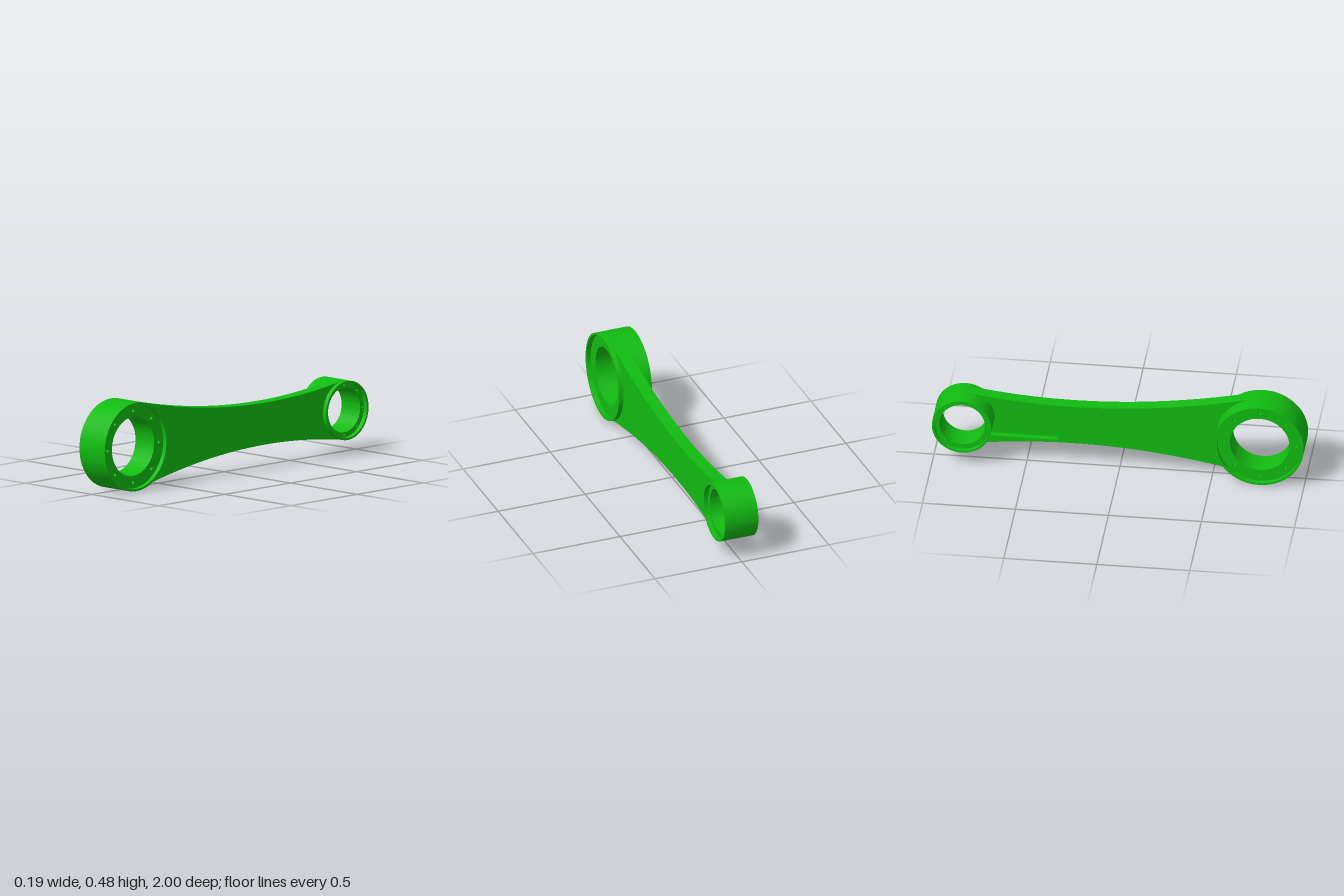
import * as THREE from 'three';
import { toCreasedNormals } from 'three/addons/utils/BufferGeometryUtils.js';

const GREEN = new THREE.MeshStandardMaterial({ color: 0x11bb11 });
const GREEN_THIN = new THREE.MeshStandardMaterial({ color: 0x11bb11, side: THREE.DoubleSide });
const MID_Y = 0.24;
const HALF_WIDTH = 0.095;   // ring half length along its axis
const SEAT = 0.07;          // recessed face distance from the centre plane

// Bearing ends: c = centre along the arm, r = outer, step = recess, bore,
// bolt = bolt circle, lean = angle where the arm leaves the ring tangentially
const BIG = { c: 0.76, r: 0.24, step: 0.228, bore: 0.16, bolt: 0.194, hole: 0.009, lean: 0.24 };
const SMALL = { c: -0.84, r: 0.16, step: 0.149, bore: 0.122, bolt: 0.136, hole: 0.006, lean: 0.16 };

function add(parent, name, geometry, material = GREEN) {
  const mesh = new THREE.Mesh(geometry, material);
  mesh.name = name;
  parent.add(mesh);
  return mesh;
}

// Surface of revolution about local z from [radius, height] points
function turned(points) {
  const g = new THREE.LatheGeometry(points.map(([r, h]) => new THREE.Vector2(r, h)), 96);
  g.rotateX(Math.PI / 2);
  return toCreasedNormals(g, 0.5);
}

function bearingRing(name, e) {
  const ring = new THREE.Group();
  ring.name = name;
  ring.position.set(e.c, MID_Y, 0);

  // outer wall with a raised lip and recess at both faces, and the bore
  add(ring, 'ringShell', turned([
    [e.step, -SEAT], [e.step, -HALF_WIDTH], [e.r, -HALF_WIDTH],
    [e.r, HALF_WIDTH], [e.step, HALF_WIDTH], [e.step, SEAT],
  ]), GREEN_THIN);
  add(ring, 'bore', turned([[e.bore, SEAT], [e.bore, -SEAT]]), GREEN_THIN);

  // recessed seat faces with a circle of blind bolt holes
  const seat = new THREE.Shape().absarc(0, 0, e.step, 0, Math.PI * 2);
  seat.holes.push(new THREE.Path().absarc(0, 0, e.bore, 0, Math.PI * 2));
  const spots = Array.from({ length: 8 }, (_, i) => {
    const a = i * Math.PI / 4;
    return [e.bolt * Math.cos(a), e.bolt * Math.sin(a)];
  });
  for (const [x, y] of spots) {
    seat.holes.push(new THREE.Path().absarc(x, y, e.hole, 0, Math.PI * 2));
  }
  for (const turn of [0, Math.PI]) {
    const face = new THREE.Group();
    face.name = 'seatFace';
    face.rotation.y = turn;
    ring.add(face);
    add(face, 'seat', new THREE.ShapeGeometry(seat, 48)).position.z = SEAT;
    for (const [x, y] of spots) {
      const wall = new THREE.CylinderGeometry(e.hole, e.hole, 0.03, 16, 1, true).rotateX(Math.PI / 2);
      add(face, 'boltHole', wall, GREEN_THIN).position.set(x, y, SEAT - 0.015);
      add(face, 'boltHoleFloor', new THREE.CircleGeometry(e.hole, 16)).position.set(x, y, SEAT - 0.03);
    }
  }
  return ring;
}

// Waisted arm outline, tangent to both rings and ending inside their lips
function armOutline() {
  const s = new THREE.Shape();
  const sa = Math.PI / 2 - SMALL.lean, ba = Math.PI / 2 + BIG.lean;
  const at = (e, a) => [e.c + e.r * Math.cos(a), MID_Y + e.r * Math.sin(a)];
  const waist = [-0.081, 0.041];
  s.moveTo(...at(SMALL, sa));
  s.quadraticCurveTo(waist[0], MID_Y + waist[1], ...at(BIG, ba));
  s.absarc(BIG.c, MID_Y, BIG.r - 0.009, ba, 2 * Math.PI - ba, false);
  s.lineTo(...at(BIG, -ba));
  s.quadraticCurveTo(waist[0], MID_Y - waist[1], ...at(SMALL, -sa));
  s.absarc(SMALL.c, MID_Y, SMALL.r - 0.009, -sa, sa, false);
  return s;
}

// Pocket running from a straight inner edge to the ring wall
function pocket(e, edge, halfInner, halfOuter) {
  const r = e.r - 0.004, dir = Math.sign(edge - e.c);
  const p = new THREE.Path();
  p.moveTo(edge, MID_Y - halfInner);
  p.lineTo(edge, MID_Y + halfInner);
  for (let i = 0; i <= 16; i++) {
    const h = halfOuter * (1 - i / 8);
    p.lineTo(e.c + dir * Math.sqrt(r * r - h * h), MID_Y + h);
  }
  p.closePath();
  return p;
}

function layer(shape, depth) {
  const g = new THREE.ExtrudeGeometry(shape, { depth, bevelEnabled: false, curveSegments: 48 });
  return toCreasedNormals(g, 0.5);
}

export function createModel() {
  const model = new THREE.Group();
  model.name = 'connectingArm';
  // local x runs along world z, local z along world -x
  const body = new THREE.Group();
  body.name = 'armBody';
  body.rotation.y = -Math.PI / 2;
  model.add(body);

  body.add(bearingRing('bigRing', BIG), bearingRing('smallRing', SMALL));

  // solid plate, backed by a second plate with a pocket near each ring
  add(body, 'armPlate', layer(armOutline(), 0.035)).position.z = -SEAT;
  const pocketed = armOutline();
  pocketed.holes.push(pocket(BIG, 0.11, 0.1, 0.135), pocket(SMALL, -0.33, 0.1, 0.1));
  add(body, 'pocketedPlate', layer(pocketed, 0.035)).position.z = -0.035;

  return model;
}
